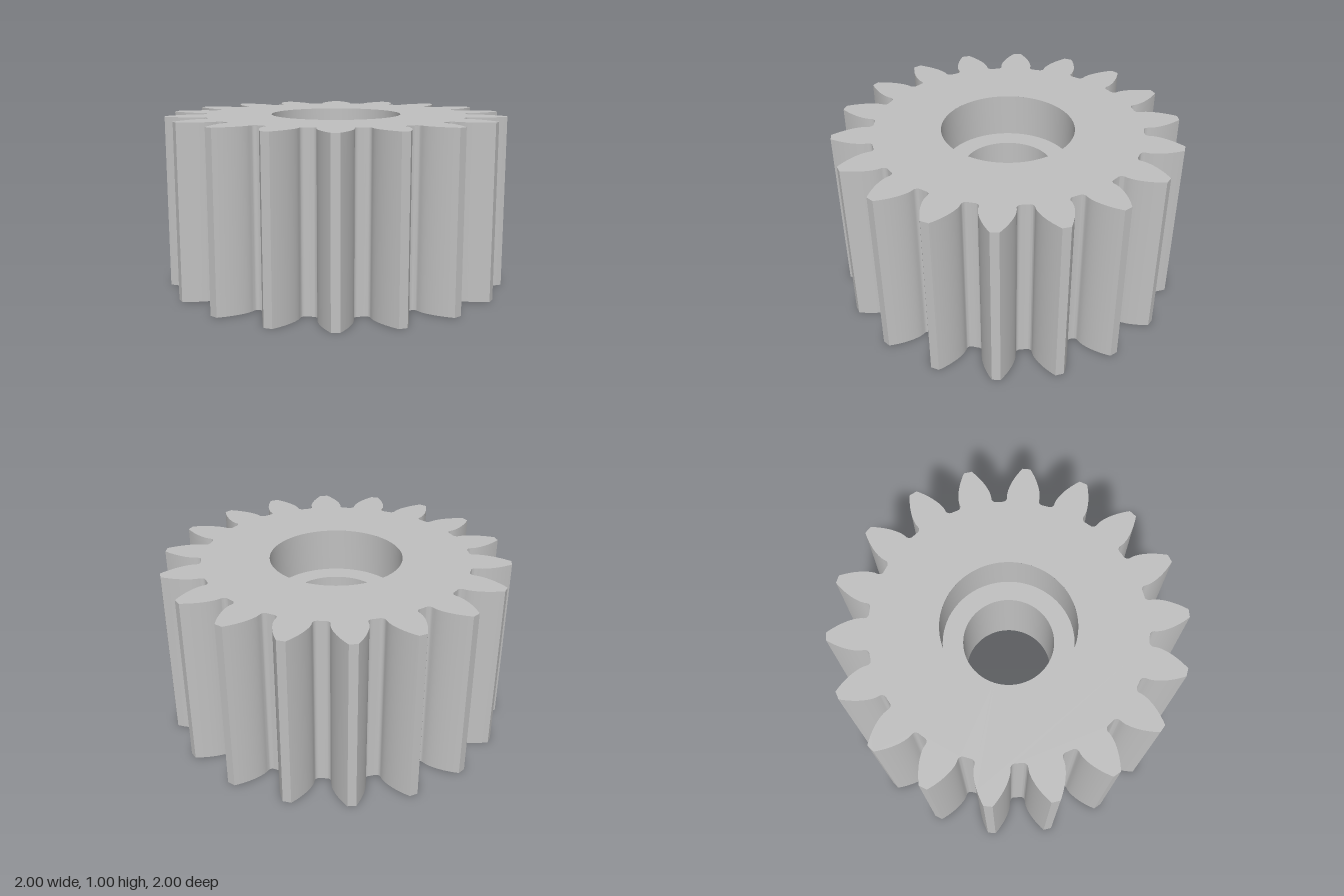
import * as THREE from 'three';
import { toCreasedNormals } from 'three/addons/utils/BufferGeometryUtils.js';

const TEETH = 18, HEIGHT = 1;
const TIP_R = 1.0015, PITCH_R = 0.9, ROOT_R = 0.775;
const PRESSURE = THREE.MathUtils.degToRad(25);
const FIRST_TOOTH = THREE.MathUtils.degToRad(4.35);
const RECESS_R = 0.383, BORE_R = 0.264, RECESS_DEPTH = 0.26;
const ROUND = 96;

// Half of one tooth as [radius, angle from the tooth axis], tip to root
function halfTooth() {
  const baseR = PITCH_R * Math.cos(PRESSURE);
  const inv = (a) => Math.tan(a) - a;
  const points = [];
  // involute flank
  for (let i = 0; i <= 10; i++) {
    const r = THREE.MathUtils.lerp(TIP_R, baseR, i / 10);
    const a = Math.acos(Math.min(1, baseR / r));
    points.push([r, Math.PI / (2 * TEETH) + inv(PRESSURE) - inv(a)]);
  }
  // rounded fillet down to the root circle
  const start = points[points.length - 1][1];
  for (let i = 0; i <= 6; i++) {
    const t = (i / 6) * Math.PI / 2;
    points.push([ROOT_R + 0.025 * (1 - Math.sin(t)), start + 0.032 * (1 - Math.cos(t))]);
  }
  return points;
}

// Whole outline, counter-clockwise seen from above, y pointing to the back
function gearOutline() {
  const half = halfTooth();
  const tooth = [
    ...half.slice().reverse().map(([r, a]) => [r, -a]),
    ...half,
    [ROOT_R, Math.PI / TEETH],
  ];
  const outline = [];
  for (let k = 0; k < TEETH; k++) {
    const axis = FIRST_TOOTH + (k * 2 * Math.PI) / TEETH;
    for (const [r, a] of tooth) {
      outline.push(new THREE.Vector2(r * Math.cos(axis + a), r * Math.sin(axis + a)));
    }
  }
  return outline;
}

export function createModel() {
  const group = new THREE.Group();
  group.name = 'spurGear';
  const steel = new THREE.MeshStandardMaterial({ color: 0xc0c0c0 });
  steel.name = 'grey steel';

  const add = (name, geometry) => {
    const mesh = new THREE.Mesh(geometry, steel);
    mesh.name = name;
    group.add(mesh);
  };

  const outline = gearOutline();
  const n = outline.length;

  // Toothed wall: an open cylinder pushed onto the outline
  const wall = new THREE.CylinderGeometry(1, 1, HEIGHT, n, 1, true);
  const pos = wall.attributes.position;
  for (let i = 0; i < pos.count; i++) {
    const p = outline[(i % (n + 1)) % n];
    pos.setX(i, p.x);
    pos.setZ(i, -p.y);
  }
  wall.translate(0, HEIGHT / 2, 0);
  add('teeth', toCreasedNormals(wall, THREE.MathUtils.degToRad(32)));

  // Flat faces with the recess opening
  const face = new THREE.Shape(outline);
  face.holes.push(new THREE.Path().absarc(0, 0, RECESS_R, 0, Math.PI * 2, true));
  const top = new THREE.ShapeGeometry(face, ROUND).rotateX(-Math.PI / 2);
  const bottom = top.clone().rotateX(Math.PI).rotateY(2 * FIRST_TOOTH);
  add('topFace', top.translate(0, HEIGHT, 0));
  add('bottomFace', bottom);

  // Stepped bore: a recess at each end and a narrower hole between
  const profile = [
    [RECESS_R, HEIGHT],
    [RECESS_R, HEIGHT - RECESS_DEPTH],
    [BORE_R, HEIGHT - RECESS_DEPTH],
    [BORE_R, RECESS_DEPTH],
    [RECESS_R, RECESS_DEPTH],
    [RECESS_R, 0],
  ].map(([x, y]) => new THREE.Vector2(x, y));
  add('steppedBore', toCreasedNormals(new THREE.LatheGeometry(profile, ROUND), 0.6));

  return group;
}
